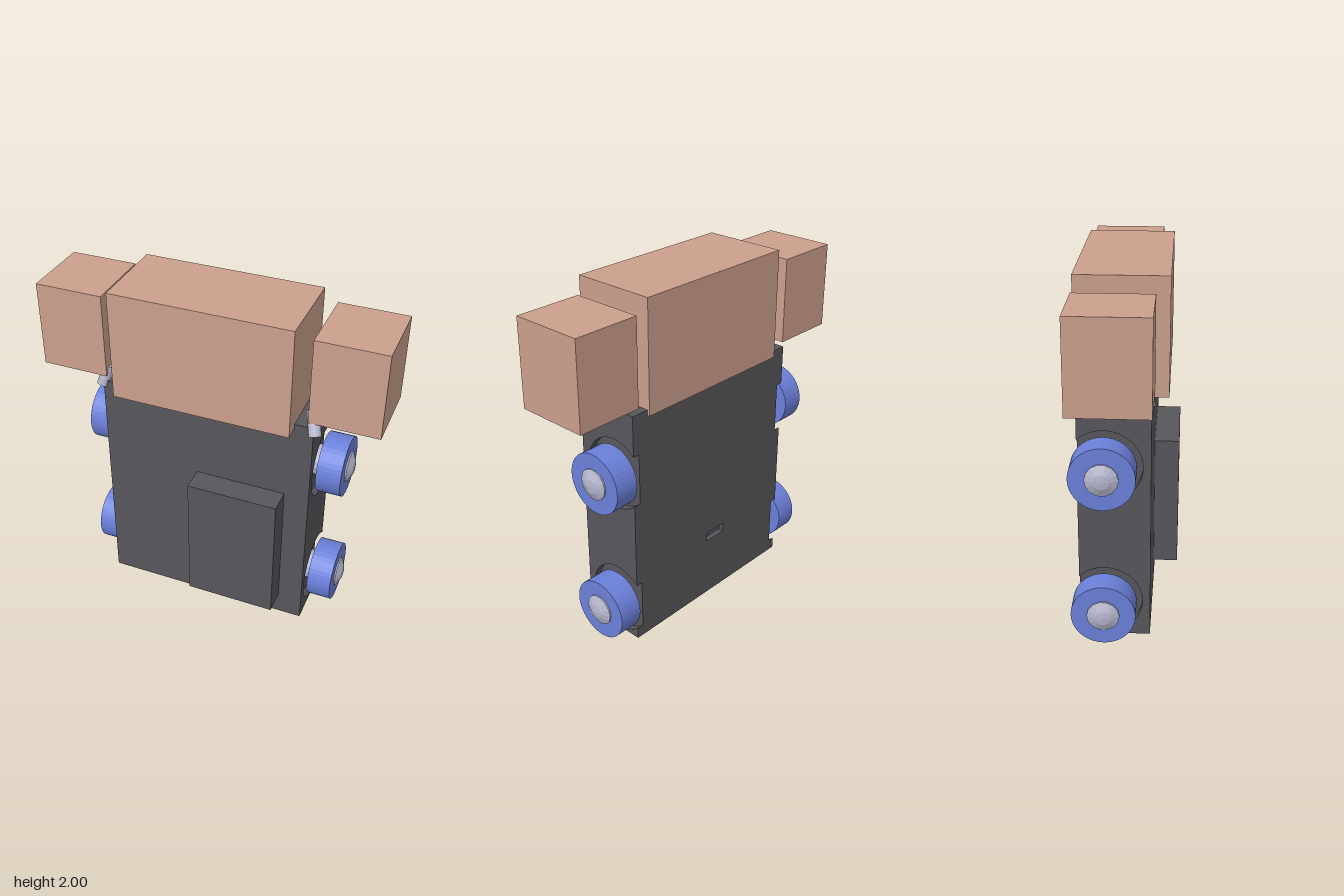
import * as THREE from 'three';

const mat = (name, color) => {
  const m = new THREE.MeshStandardMaterial({ color, flatShading: true });
  m.name = name;
  return m;
};

export function createModel() {
  const model = new THREE.Group();
  model.name = 'wheeledBox';
  const charcoal = mat('charcoal', 0x57565b);
  const peach = mat('peach', 0xcb9f8d);
  const blue = mat('blue', 0x6b80da);
  const silver = mat('silver', 0xb5b6cc);

  const add = (name, geometry, material) => {
    const mesh = new THREE.Mesh(geometry, material);
    mesh.name = name;
    model.add(mesh);
    return mesh;
  };
  // box given by its limits
  const box = (name, material, x0, x1, y0, y1, z0, z1) =>
    add(name, new THREE.BoxGeometry(x1 - x0, y1 - y0, z1 - z0), material)
      .position.set((x0 + x1) / 2, (y0 + y1) / 2, (z0 + z1) / 2);
  // cylinder running between two points
  const pin = (name, a, b, r) => {
    const p = new THREE.Vector3(...a), q = new THREE.Vector3(...b);
    const mesh = add(name, new THREE.CylinderGeometry(r, r, p.distanceTo(q), 16), silver);
    mesh.position.copy(p).lerp(q, 0.5);
    mesh.quaternion.setFromUnitVectors(new THREE.Vector3(0, 1, 0), q.sub(p).normalize());
  };

  const H = 1.4, BACK = -0.245, FRONT = 0.14, SIDE = 0.61, WELL = 0.04;
  const wheelYs = [0.215, 1.02], wheelZ = -0.105, wellR = 0.203;
  const inner = SIDE - WELL;

  // body core and front box
  box('bodyCore', charcoal, -inner, inner, 0, H, BACK + 0.03, FRONT);
  box('frontBox', charcoal, -0.05, 0.47, 0.135, 0.92, FRONT, 0.28);

  // back panel with a small slot
  const panel = new THREE.Shape();
  panel.moveTo(-inner, 0).lineTo(inner, 0).lineTo(inner, H).lineTo(-inner, H).closePath();
  const slot = new THREE.Path();
  slot.moveTo(-0.108, 0.37).lineTo(-0.108, 0.425).lineTo(0.037, 0.425).lineTo(0.037, 0.37).closePath();
  panel.holes.push(slot);
  add('backPanel', new THREE.ExtrudeGeometry(panel, { depth: 0.03, bevelEnabled: false }), charcoal)
    .position.z = BACK;

  // side panels with round wheel wells open at the back (shape x is -z)
  const side = new THREE.Shape();
  const reach = Math.acos((-BACK + wheelZ) / wellR);
  side.moveTo(-BACK, 0);
  for (const y of wheelYs) {
    side.lineTo(-BACK, y - wellR * Math.sin(reach));
    side.absarc(-wheelZ, y, wellR, -reach, reach, true);
  }
  side.lineTo(-BACK, H).lineTo(-FRONT, H).lineTo(-FRONT, 0).closePath();
  const sideGeometry = new THREE.ExtrudeGeometry(side, { depth: WELL, bevelEnabled: false, curveSegments: 32 });
  sideGeometry.rotateY(Math.PI / 2);

  // axle with a shallow faceted cap
  const hubProfile = [[0, 0.57], [0.088, 0.57], [0.088, 0.768], [0.04, 0.79], [0, 0.795]]
    .map(([r, x]) => new THREE.Vector2(r, x));

  for (const s of [1, -1]) {
    const label = s > 0 ? 'left' : 'right';
    add(label + 'SidePanel', sideGeometry, charcoal).position.x = s > 0 ? inner : -SIDE;
    for (const y of wheelYs) {
      const end = y > 0.5 ? 'Upper' : 'Lower';
      const wheel = add(label + end + 'Wheel', new THREE.CylinderGeometry(0.173, 0.173, 0.14, 40), blue);
      wheel.rotation.z = Math.PI / 2;
      wheel.position.set(s * 0.69, y, wheelZ);
      const hub = add(label + end + 'Hub', new THREE.LatheGeometry(hubProfile, 14), silver);
      hub.rotation.z = -s * Math.PI / 2;
      hub.position.set(0, y, wheelZ);
    }
    // side blocks beside the head
    const x = [s * 0.58, s * 0.965].sort((a, b) => a - b);
    box(label + 'Block', peach, x[0], x[1], 1.44, 1.93, -0.26, 0.155);
  }

  // head block and the tilted pins under the side blocks
  box('headBlock', peach, -0.507, 0.505, 1.37, 2, -0.26, 0.225);
  pin('leftPin', [0.625, 1.365, 0.158], [0.585, 1.485, 0.09], 0.034);
  pin('rightPin', [-0.622, 1.365, 0.125], [-0.585, 1.485, 0.1], 0.034);
  return model;
}
